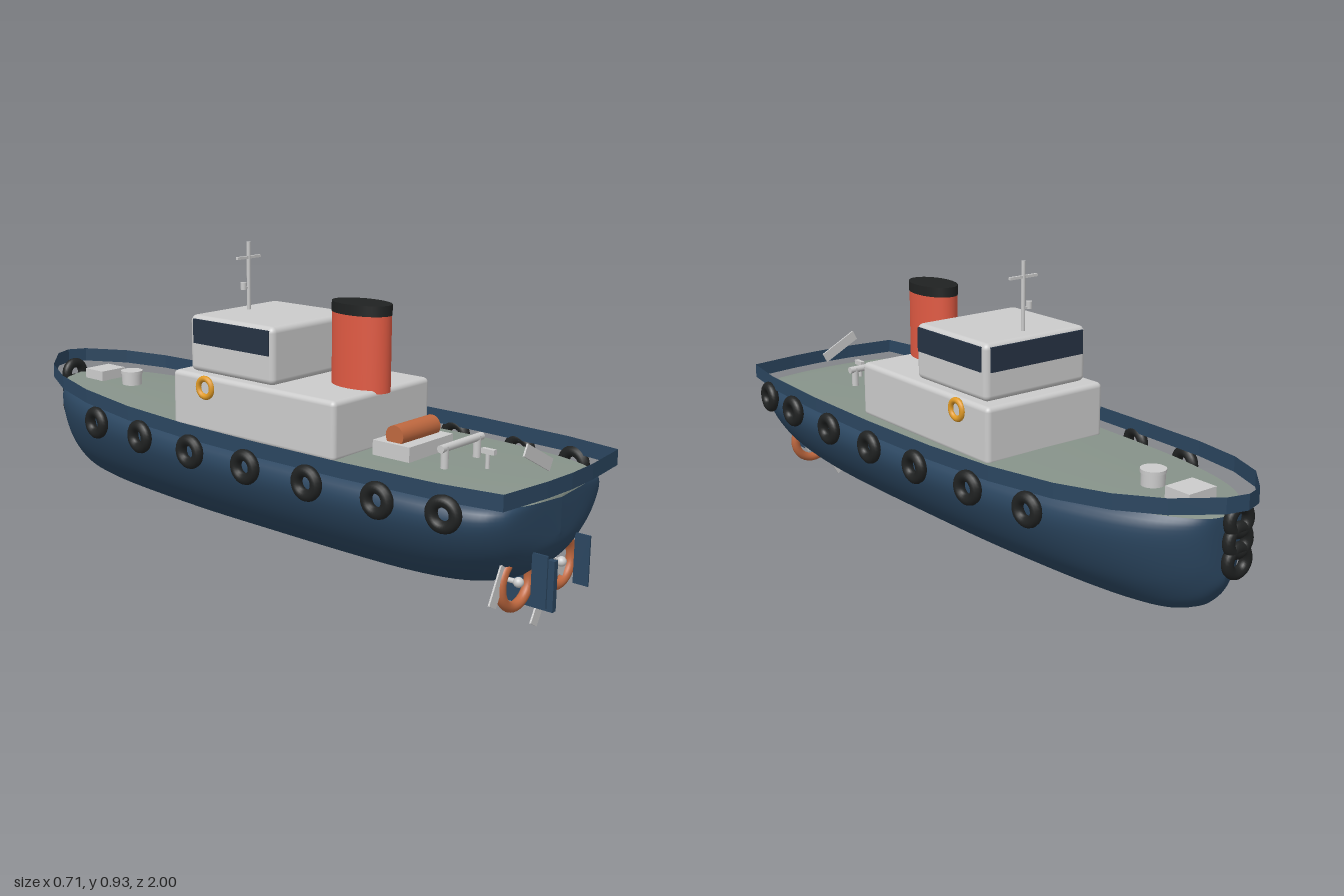
import * as THREE from 'three';
import { RoundedBoxGeometry } from 'three/addons/geometries/RoundedBoxGeometry.js';

const mat = (color, extra = {}) => {
  const m = new THREE.MeshStandardMaterial({ color });
  return Object.assign(m, extra);
};
const V = (x, y, z) => new THREE.Vector3(x, y, z);

// Skin a surface over rows of points; each row has the same count.
function skin(rows) {
  const n = rows[0].length, pos = [], idx = [];
  rows.forEach(r => r.forEach(p => pos.push(p.x, p.y, p.z)));
  for (let i = 0; i < rows.length - 1; i++) {
    for (let j = 0; j < n - 1; j++) {
      const a = i * n + j, b = a + n;
      idx.push(a, b, a + 1, b, b + 1, a + 1);
    }
  }
  const g = new THREE.BufferGeometry();
  g.setAttribute('position', new THREE.Float32BufferAttribute(pos, 3));
  g.setIndex(idx);
  g.computeVertexNormals();
  return g;
}

export function createModel() {
  const root = new THREE.Group();
  root.name = 'tugboat';

  const grey = mat(0xcccccc), navy = mat(0x2b4660), green = mat(0x87938a);
  const red = mat(0xe05a43), black = mat(0x202222), orange = mat(0xbf683f);
  const yellow = mat(0xe09a26), glass = mat(0x263344);
  const rail = mat(0x2b4660, { side: THREE.DoubleSide, flatShading: true });

  const add = (name, geo, material, x = 0, y = 0, z = 0, parent = root) => {
    const m = new THREE.Mesh(geo, material);
    m.name = name;
    m.position.set(x, y, z);
    parent.add(m);
    return m;
  };
  const box = (w, h, d) => new THREE.BoxGeometry(w, h, d);
  const cyl = (r, h, s = 24) => new THREE.CylinderGeometry(r, r, h, s);

  // Hull stations: z, half width, keel height, deck height
  const stations = [
    [-0.94, 0, 0.25, 0.405], [-0.925, 0.07, 0.2, 0.407], [-0.88, 0.125, 0.145, 0.408],
    [-0.8, 0.18, 0.108, 0.408], [-0.68, 0.226, 0.092, 0.405], [-0.5, 0.267, 0.085, 0.4],
    [-0.2, 0.3, 0.08, 0.393], [0.1, 0.315, 0.08, 0.39], [0.4, 0.32, 0.08, 0.39],
    [0.6, 0.318, 0.084, 0.39], [0.76, 0.306, 0.1, 0.388], [0.87, 0.283, 0.133, 0.385],
    [0.93, 0.247, 0.178, 0.381], [0.96, 0.18, 0.23, 0.375], [0.968, 0, 0.27, 0.365]];
  const curve = f => new THREE.CatmullRomCurve3(stations.map(f), false, 'catmullrom', 0.5);
  const plan = curve(s => V(s[1], 0, s[0])), heights = curve(s => V(s[2], s[3], s[0]));
  const half = new THREE.SplineCurve([
    [0.86, 1], [0.97, 0.92], [1, 0.78], [0.93, 0.58], [0.8, 0.38],
    [0.63, 0.22], [0.45, 0.1], [0.25, 0.03], [0, 0]].map(p => new THREE.Vector2(...p))).getPoints(24);
  const section = [...half, ...half.slice(0, -1).reverse().map(p => new THREE.Vector2(-p.x, p.y))];
  const hullRows = [], deckRows = [];
  for (let i = 0; i <= 70; i++) {
    const p = plan.getPoint(i / 70), h = heights.getPoint(i / 70), w = Math.max(p.x, 0);
    hullRows.push(section.map(s => V(s.x * w, h.x + (h.y - h.x) * s.y, p.z)));
    deckRows.push([-1, -0.5, 0, 0.5, 1].map(k => V(k * w * 0.86, h.y + 0.006 * (1 - k * k), p.z)));
  }
  add('hull', skin(hullRows), navy);
  add('deck', skin(deckRows), green);

  // Bulwark band floating just outside the deck edge, rising to the bow
  const side = [[0, 0.995], [0.11, 0.99], [0.275, 0.97], [0.305, 0.8], [0.322, 0.5], [0.325, 0.2],
    [0.315, -0.1], [0.3, -0.35], [0.27, -0.58], [0.225, -0.75], [0.16, -0.88], [0.06, -0.98], [0, -1]];
  const ring = [...side, ...side.slice(0, -1).reverse().map(([x, z]) => [-x, z])];
  const band = ring.map(([x, z]) => {
    const rise = 0.048 * Math.pow(Math.max(0, (-z - 0.1) / 0.9), 1.7);
    return [V(x, 0.39 + rise, z), V(x, 0.434 + rise, z)];
  });
  add('bulwark', skin(band), rail);

  // Deckhouse and wheelhouse
  add('deckhouse', new RoundedBoxGeometry(0.43, 0.17, 0.63, 3, 0.015), grey, 0, 0.47, 0.075);
  add('wheelhouse', new RoundedBoxGeometry(0.372, 0.168, 0.335, 3, 0.018), grey, 0, 0.638, -0.028);
  for (const s of [1, -1]) add('sideWindow', box(0.006, 0.072, 0.3), glass, s * 0.187, 0.676, -0.025);
  add('frontWindow', box(0.34, 0.072, 0.006), glass, 0, 0.676, -0.196);

  // Oval funnel with a dark cap
  add('funnel', cyl(0.06, 0.22, 40), red, 0, 0.655, 0.307).scale.z = 1.6;
  add('funnelCap', cyl(0.061, 0.03, 40), black, 0, 0.777, 0.307).scale.z = 1.6;

  // Mast
  add('mast', cyl(0.006, 0.21, 12), grey, 0, 0.82, -0.13);
  add('mastYard', box(0.1, 0.008, 0.008), grey, 0, 0.879, -0.13);
  add('mastLamp', cyl(0.009, 0.022, 12), grey, -0.022, 0.795, -0.13);
  add('lampBracket', box(0.022, 0.005, 0.005), grey, -0.011, 0.788, -0.13);

  // Lifebuoys and side tyres
  const tyre = new THREE.TorusGeometry(0.034, 0.0165, 12, 28);
  const tyres = [[0.82, 0.308], [0.63, 0.33], [0.4, 0.338], [0.175, 0.338], [-0.05, 0.332], [-0.28, 0.317], [-0.505, 0.294]];
  for (const s of [1, -1]) {
    add('lifebuoy', new THREE.TorusGeometry(0.027, 0.009, 12, 28), yellow, s * 0.217, 0.52, -0.1).rotation.y = Math.PI / 2;
    for (const [z, x] of tyres) {
      add('sideTyre', tyre, black, s * x, 0.36, z).rotation.y = Math.PI / 2 - s * (z < -0.2 ? -0.1 : z > 0.7 ? 0.12 : 0);
    }
  }
  for (const y of [0.295, 0.35, 0.405]) add('bowTyre', tyre, black, 0, y, -0.97);

  // Foredeck gear
  add('hatch', box(0.1, 0.04, 0.085), grey, 0, 0.425, -0.805);
  add('capstan', cyl(0.033, 0.045), grey, 0, 0.427, -0.67);
  add('capstanCap', cyl(0.036, 0.01), grey, 0, 0.451, -0.67);

  // Towing winch, bitts and hook on the aft deck
  add('winchBase', box(0.2, 0.045, 0.125), grey, 0, 0.415, 0.495);
  add('winchDrum', cyl(0.03, 0.17), orange, 0, 0.455, 0.495).rotation.z = Math.PI / 2;
  add('bittBar', cyl(0.011, 0.19, 16), grey, 0, 0.45, 0.655).rotation.z = Math.PI / 2;
  for (const s of [1, -1]) add('bittPost', cyl(0.011, 0.07, 16), grey, s * 0.075, 0.42, 0.655);
  add('towHookPost', cyl(0.006, 0.05, 12), grey, 0, 0.415, 0.74);
  add('towHook', box(0.014, 0.014, 0.04), grey, 0, 0.442, 0.743);

  // Underwater gear: nozzles, hubs, rudders and skeg
  for (const s of [1, -1]) {
    const x = s * 0.104;
    add('nozzle', new THREE.TorusGeometry(0.067, 0.0145, 14, 40), orange, x, 0.15, 0.905);
    add('propellerHub', new THREE.SphereGeometry(0.014, 20, 14), grey, x, 0.15, 0.915);
    add('propellerShaft', cyl(0.007, 0.12, 12), grey, x, 0.15, 0.86).rotation.x = Math.PI / 2;
    add('rudder', box(0.005, 0.14, 0.045), navy, x, 0.17, 0.975);
  }
  add('skeg', box(0.017, 0.14, 0.165), navy, 0, 0.12, 0.878);

  // Loose flat blades: x, y, tilt, length
  const blades = [[-0.025, 0.462, -0.48, 0.14], [-0.185, 0.165, 1.1, 0.12],
    [0.018, 0.058, 1.05, 0.125], [0.09, 0.14, -0.5, 0.09]];
  for (const [x, y, tilt, len] of blades) {
    add('propellerBlade', box(len, 0.034, 0.005), grey, x, y, 0.908).rotation.z = tilt;
  }
  return root;
}
